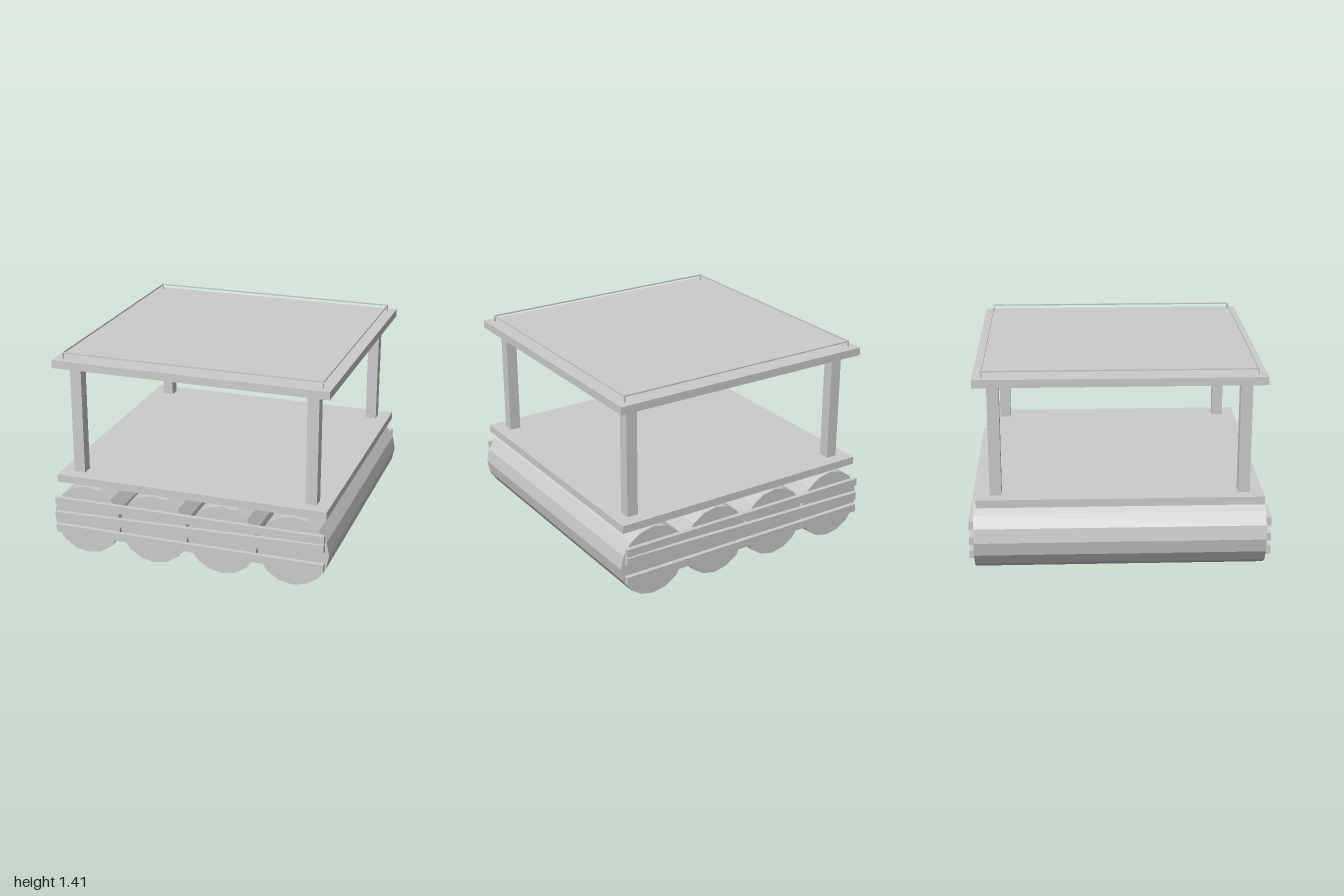
import * as THREE from 'three';

export function createModel() {
  const model = new THREE.Group();
  const material = new THREE.MeshStandardMaterial({ color: 0xcccccc, flatShading: true });

  function add(name, geometry, x, y, z) {
    const mesh = new THREE.Mesh(geometry, material);
    mesh.name = name;
    mesh.position.set(x, y, z);
    model.add(mesh);
    return mesh;
  }
  const box = (name, w, h, d, x, y, z) => add(name, new THREE.BoxGeometry(w, h, d), x, y, z);

  // Four floating logs lying along z
  const logGeometry = new THREE.CylinderGeometry(0.245, 0.245, 1.94, 16).rotateX(Math.PI / 2).rotateZ(Math.PI / 16 * 2);
  for (let i = 0; i < 4; i++) add('log', logGeometry, (i - 1.5) * 0.487, 0.247, 0);

  // Lashing boards across both log ends, the middle one slanted
  for (const z of [-0.985, 0.985]) {
    box('lowerBoard', 1.9, 0.057, 0.03, -0.004, 0.164, z);
    box('upperBoard', 1.9, 0.055, 0.03, -0.004, 0.367, z);
    box('slantedBoard', 1.9, 0.055, 0.03, -0.004, 0.281, z).rotation.z = 0.024;
  }

  // Deck and flat roof
  box('deck', 1.9, 0.054, 1.9, -0.004, 0.518, 0);
  box('roof', 1.9, 0.054, 1.9, -0.004, 1.338, 0);

  // Roof posts and small rail stanchions at the four corners
  for (const sx of [-1, 1]) {
    for (const sz of [-1, 1]) {
      box('post', 0.078, 0.766, 0.078, sx * 0.822 - 0.004, 0.928, sz * 0.822);
      box('railStanchion', 0.009, 0.045, 0.009, sx * 0.891 - 0.005, 1.386, sz * 0.891);
    }
  }

  // Thin rail around the roof
  for (const s of [-1, 1]) {
    box('railAcross', 1.791, 0.009, 0.009, -0.005, 1.405, s * 0.891);
    box('railAlong', 0.009, 0.009, 1.791, s * 0.891 - 0.005, 1.405, 0);
  }

  return model;
}
